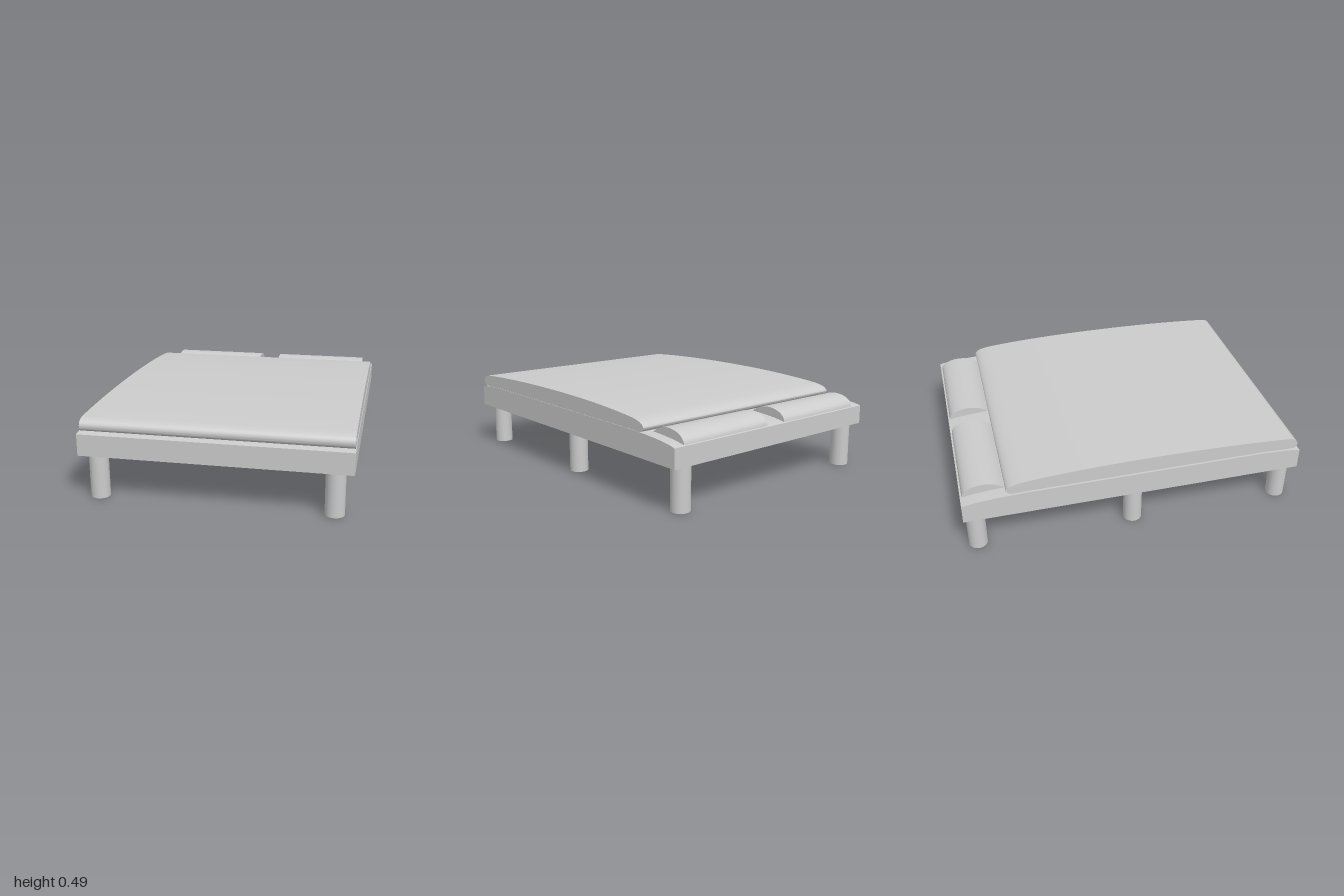
import * as THREE from 'three';
import { toCreasedNormals } from 'three/addons/utils/BufferGeometryUtils.js';

const material = new THREE.MeshStandardMaterial({ color: 0xcccccc });

function addMesh(parent, name, geometry) {
  const mesh = new THREE.Mesh(geometry, material);
  mesh.name = name;
  parent.add(mesh);
  return mesh;
}

// Extrudes a side profile (z, y) across the bed from x0 to x1.
function crossPiece(shape, x0, x1) {
  const geometry = new THREE.ExtrudeGeometry(shape, {
    depth: x1 - x0, bevelEnabled: false, curveSegments: 10,
  });
  geometry.rotateY(-Math.PI / 2);
  geometry.translate(x1, 0, 0);
  return toCreasedNormals(geometry, 0.6);
}

export function createModel() {
  const bed = new THREE.Group();
  bed.name = 'bed';

  // Mattress base: flat underneath, gently crowned on top
  const base = new THREE.Shape();
  base.moveTo(-1, 0.255);
  base.lineTo(1, 0.255);
  base.lineTo(1, 0.38);
  base.bezierCurveTo(0.95, 0.392, 0.85, 0.397, 0.74, 0.398);
  base.lineTo(-0.62, 0.396);
  base.bezierCurveTo(-0.8, 0.394, -0.93, 0.385, -1, 0.366);
  base.closePath();
  addMesh(bed, 'base', crossPiece(base, -0.763, 0.76));

  // Duvet: low dome with rolled ends
  const duvet = new THREE.Shape();
  duvet.moveTo(-0.715, 0.393);
  duvet.lineTo(0.968, 0.393);
  duvet.bezierCurveTo(0.978, 0.396, 0.984, 0.408, 0.985, 0.418);
  duvet.bezierCurveTo(0.985, 0.445, 0.965, 0.46, 0.93, 0.464);
  duvet.bezierCurveTo(0.7, 0.482, 0.4, 0.491, 0.1, 0.491);
  duvet.bezierCurveTo(-0.15, 0.491, -0.42, 0.484, -0.64, 0.463);
  duvet.bezierCurveTo(-0.7, 0.457, -0.74, 0.445, -0.75, 0.422);
  duvet.bezierCurveTo(-0.751, 0.408, -0.735, 0.398, -0.715, 0.393);
  addMesh(bed, 'duvet', crossPiece(duvet, -0.75, 0.757));

  // Pair of half-round pillows
  const pillow = new THREE.Shape();
  pillow.moveTo(-0.99, 0.368);
  pillow.lineTo(-0.75, 0.392);
  pillow.bezierCurveTo(-0.78, 0.42, -0.82, 0.435, -0.87, 0.436);
  pillow.bezierCurveTo(-0.93, 0.436, -0.99, 0.41, -0.99, 0.368);
  addMesh(bed, 'rightPillow', crossPiece(pillow, -0.685, -0.065));
  addMesh(bed, 'leftPillow', crossPiece(pillow, 0.073, 0.69));

  // Six round legs in two rows
  const legGeometry = new THREE.CylinderGeometry(0.055, 0.055, 0.256, 32);
  for (const [side, x] of [['right', -0.667], ['left', 0.658]]) {
    for (const [place, z] of [['Front', 0.93], ['Middle', 0], ['Back', -0.93]]) {
      addMesh(bed, `${side}${place}Leg`, legGeometry).position.set(x, 0.128, z);
    }
  }

  return bed;
}
